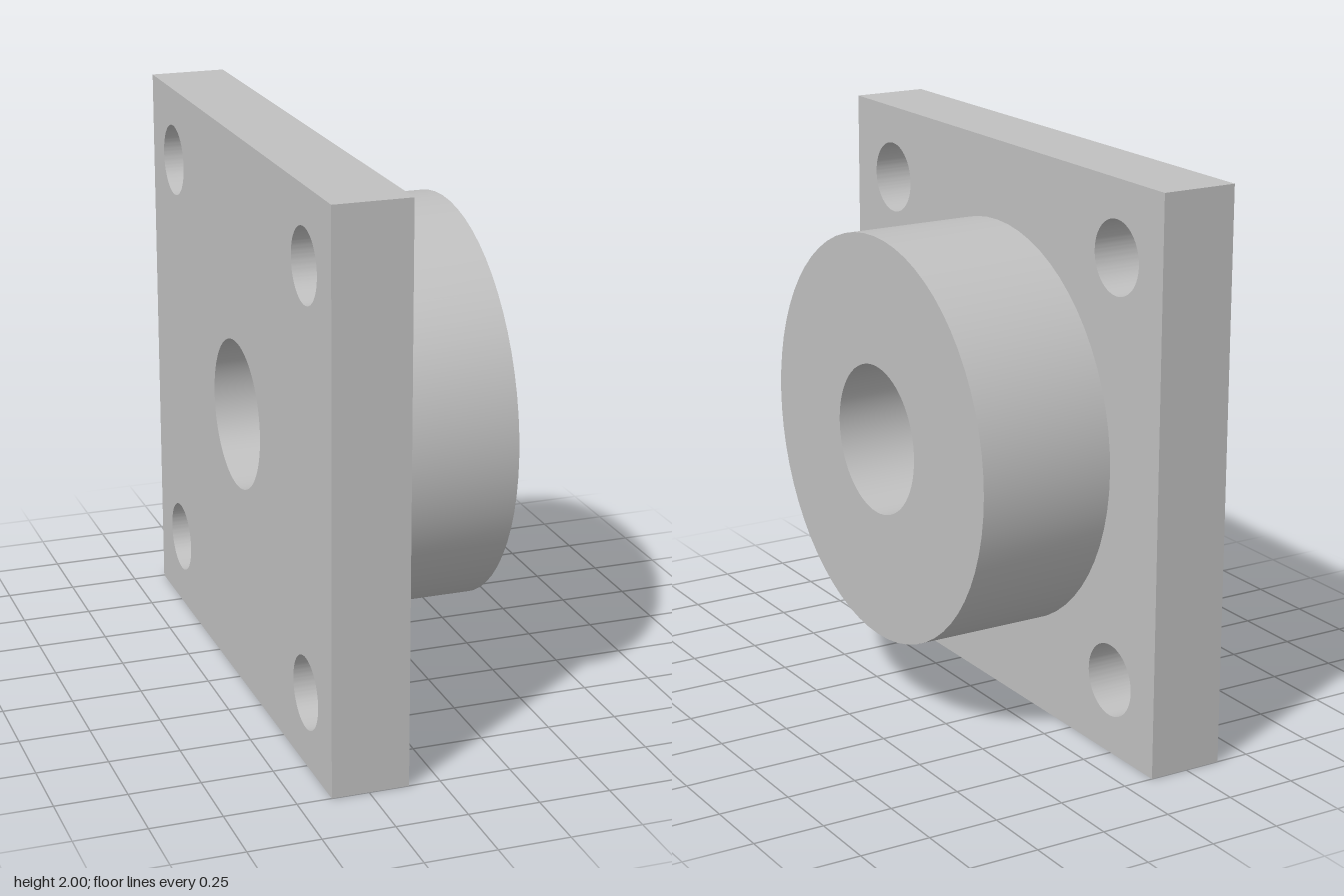
import * as THREE from 'three';
import { toCreasedNormals } from 'three/addons/utils/BufferGeometryUtils.js';

const BACK = -0.38, STEP = -0.11, FRONT = 0.38; // stations along x
const BORE = 0.265, BOSS = 0.72, BOLT = 0.128, BOLT_OFFSET = 0.737;
const SEGMENTS = 64;

export function createModel() {
  const group = new THREE.Group();
  const steel = new THREE.MeshStandardMaterial({ color: 0xc0c0c0 });
  steel.name = 'greySteel';

  const add = (name, geometry) => {
    const mesh = new THREE.Mesh(toCreasedNormals(geometry, 0.5), steel);
    mesh.name = name;
    mesh.position.y = 1;
    group.add(mesh);
  };

  // Square flange plate with centre bore and four bolt holes
  const square = new THREE.Shape([[-1, -1], [1, -1], [1, 1], [-1, 1]].map(([x, y]) => new THREE.Vector2(x, y)));
  const drill = (x, y, r) => square.holes.push(new THREE.Path().absarc(x, y, r, 0, Math.PI * 2, true));
  drill(0, 0, BORE);
  for (const sx of [-1, 1]) for (const sy of [-1, 1]) drill(sx * BOLT_OFFSET, sy * BOLT_OFFSET, BOLT);
  const plate = new THREE.ExtrudeGeometry(square, { depth: STEP - BACK, bevelEnabled: false, curveSegments: SEGMENTS });
  plate.rotateY(Math.PI / 2).translate(BACK, 0, 0);
  add('flangePlate', plate);

  // Round hub: outer wall, end face and bore wall, open where it meets the plate
  const profile = [[BOSS, STEP], [BOSS, FRONT], [BORE, FRONT], [BORE, STEP]].map(([r, h]) => new THREE.Vector2(r, h));
  const hub = new THREE.LatheGeometry(profile, SEGMENTS);
  hub.rotateZ(-Math.PI / 2);
  add('hub', hub);

  return group;
}
